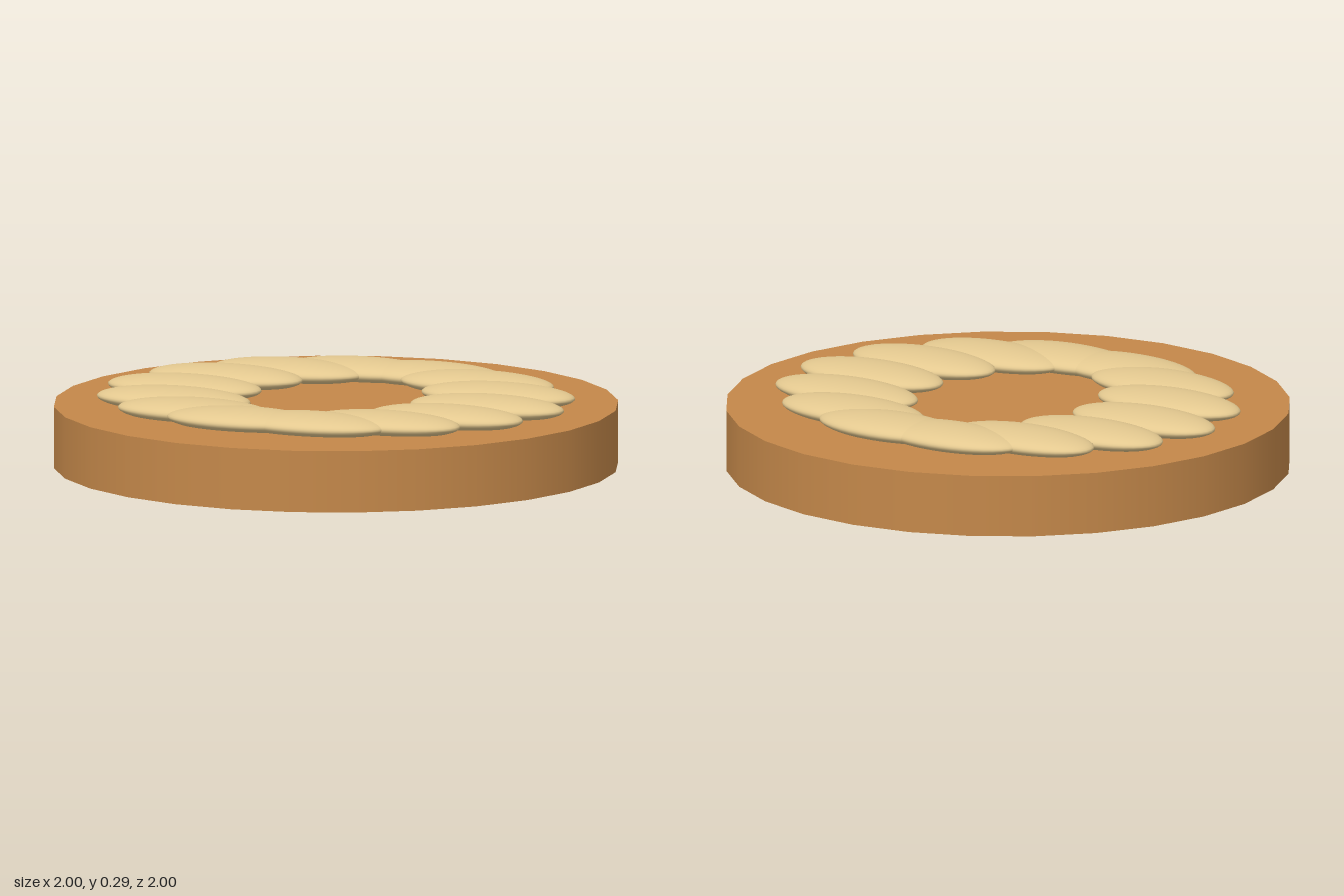
import * as THREE from 'three';

export function createModel() {
  const model = new THREE.Group();
  model.name = 'almondBiscuit';
  const crust = new THREE.MeshStandardMaterial({ color: 0xc4884a });
  crust.name = 'baked crust';
  const nut = new THREE.MeshStandardMaterial({ color: 0xe3c88f });
  nut.name = 'pale almond';

  // Round base, smooth around its side
  const base = new THREE.Mesh(new THREE.CylinderGeometry(1, 1, 0.22, 28), crust);
  base.name = 'base';
  base.position.y = 0.11;
  model.add(base);

  // Ring of flattened almonds, all pointing along x
  const ring = new THREE.Group();
  ring.name = 'almondRing';
  const almondShape = new THREE.SphereGeometry(1, 40, 24).scale(0.287, 0.043, 0.143);
  const count = 14;
  for (let i = 0; i < count; i++) {
    const angle = (i / count) * Math.PI * 2;
    const almond = new THREE.Mesh(almondShape, nut);
    almond.name = `almond${i + 1}`;
    almond.position.set(0.575 * Math.cos(angle), 0.243, 0.575 * Math.sin(angle));
    ring.add(almond);
  }
  model.add(ring);
  return model;
}
